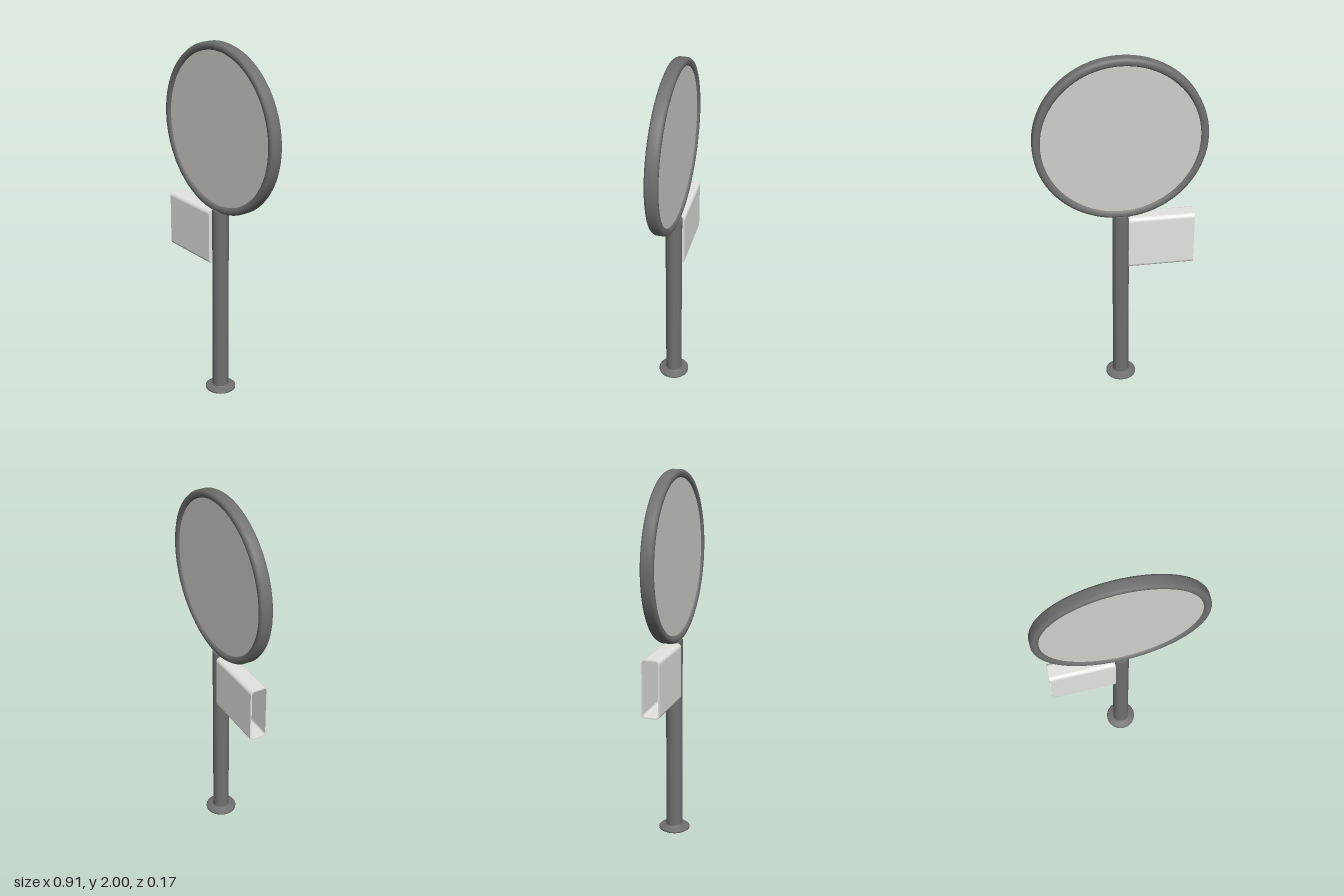
import * as THREE from 'three';

export function createModel() {
  const model = new THREE.Group();
  const mat = (name, color, side = THREE.FrontSide) => {
    const m = new THREE.MeshStandardMaterial({ color, side });
    m.name = name;
    return m;
  };
  const frameGrey = mat('frame grey', 0x707070);
  const panelGrey = mat('panel grey', 0xd0cfcb);
  const boxWhite = mat('box white', 0xe4e4e0, THREE.DoubleSide);

  const add = (name, geometry, material) => {
    const mesh = new THREE.Mesh(geometry, material);
    mesh.name = name;
    model.add(mesh);
    return mesh;
  };
  const lathe = (pts, segments) =>
    new THREE.LatheGeometry(pts.map(([r, y]) => new THREE.Vector2(r, y)), segments);

  // Pole
  const pole = add('pole', new THREE.CylinderGeometry(0.045, 0.045, 1.09, 40), frameGrey);
  pole.position.y = 0.555;

  // Base flange with a shallow ring recess underneath
  add('baseFlange', lathe([
    [0, 0.008], [0.035, 0.008], [0.045, 0], [0.078, 0], [0.085, 0.005],
    [0.085, 0.014], [0.078, 0.02], [0.05, 0.022], [0.045, 0.03],
  ], 40), frameGrey);

  // Round sign: rounded hoop around a recessed two-sided panel
  const sign = new THREE.Group();
  sign.name = 'roundSign';
  sign.position.y = 1.545;
  sign.rotation.x = Math.PI / 2;
  model.add(sign);

  const hoop = new THREE.Mesh(lathe([
    [0.412, -0.02], [0.416, -0.028], [0.425, -0.034], [0.438, -0.035], [0.449, -0.031],
    [0.455, -0.02], [0.455, 0.02], [0.449, 0.031], [0.438, 0.035], [0.425, 0.034],
    [0.416, 0.028], [0.412, 0.02],
  ], 96), frameGrey);
  hoop.name = 'signHoop';
  const panel = new THREE.Mesh(new THREE.CylinderGeometry(0.415, 0.415, 0.046, 96), panelGrey);
  panel.name = 'signPanel';
  sign.add(hoop, panel);

  // Rounded rectangle, width along x and height along y
  const roundedRect = (path, w, h, r) => {
    const x = w / 2 - r, y = h / 2 - r;
    path.absarc(x, y, r, 0, Math.PI / 2);
    path.absarc(-x, y, r, Math.PI / 2, Math.PI);
    path.absarc(-x, -y, r, Math.PI, Math.PI * 1.5);
    path.absarc(x, -y, r, Math.PI * 1.5, Math.PI * 2);
    path.closePath();
    return path;
  };

  // Side box: sleeve open at the outer end, closed against the pole
  const sleeveShape = roundedRect(new THREE.Shape(), 0.1, 0.312, 0.022);
  sleeveShape.holes.push(roundedRect(new THREE.Path(), 0.084, 0.296, 0.015));
  const extrude = (shape, depth) =>
    new THREE.ExtrudeGeometry(shape, { depth, bevelEnabled: false, curveSegments: 8 }).rotateY(Math.PI / 2);
  const sleeve = add('boxSleeve', extrude(sleeveShape, 0.347), boxWhite);
  sleeve.position.set(-0.395, 0.934, 0);
  const cap = add('boxInnerEnd',
    extrude(roundedRect(new THREE.Shape(), 0.1, 0.312, 0.022), 0.01), boxWhite);
  cap.position.set(-0.048, 0.934, 0);

  return model;
}
